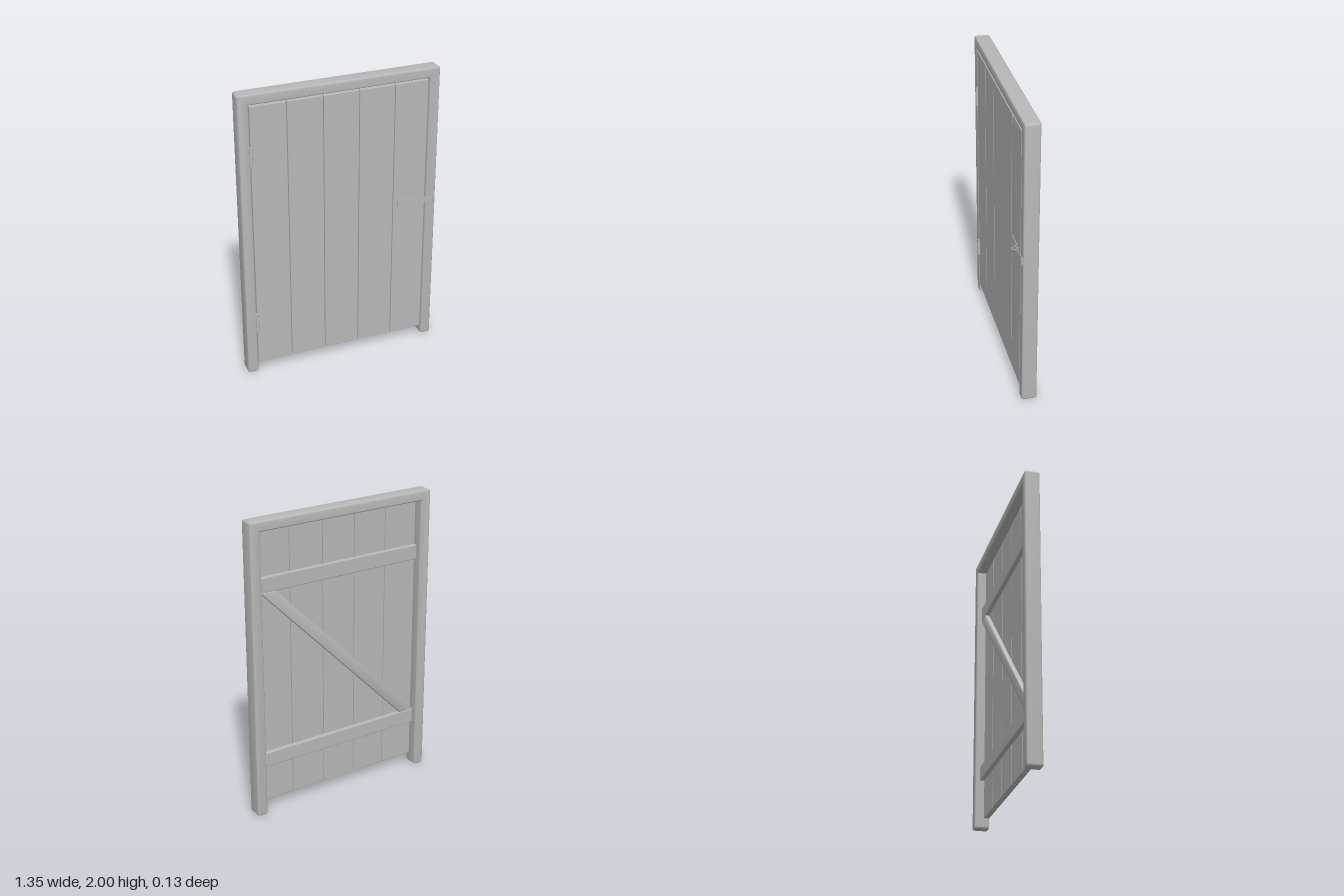
import * as THREE from 'three';
import { toCreasedNormals } from 'three/addons/utils/BufferGeometryUtils.js';
import { RoundedBoxGeometry } from 'three/addons/geometries/RoundedBoxGeometry.js';

const grey = new THREE.MeshStandardMaterial({ color: 0xb8b8b8 });
grey.name = 'plain grey';

function add(parent, name, geometry, x = 0, y = 0, z = 0) {
  const mesh = new THREE.Mesh(geometry, grey);
  mesh.name = name;
  mesh.position.set(x, y, z);
  parent.add(mesh);
  return mesh;
}

// Box given by its extents, with softened edges
function slab(parent, name, [x0, x1], [y0, y1], [z0, z1], bevel) {
  const geometry = new RoundedBoxGeometry(x1 - x0, y1 - y0, z1 - z0, 2, bevel);
  return add(parent, name, geometry, (x0 + x1) / 2, (y0 + y1) / 2, (z0 + z1) / 2);
}

// Closed outline extruded between z0 and z1, bevelled inside its own outline
function bevelled(shape, z0, z1, bevel) {
  const geometry = new THREE.ExtrudeGeometry(shape, {
    depth: z1 - z0 - 2 * bevel, bevelEnabled: true, bevelThickness: bevel,
    bevelSize: bevel, bevelOffset: -bevel, bevelSegments: 3, curveSegments: 4,
  });
  geometry.translate(0, 0, z0 + bevel);
  return toCreasedNormals(geometry, 0.6);
}

function createFrame() {
  const w = 0.675, i = 0.603, top = 2, head = 1.932, r = 0.016;
  const s = new THREE.Shape();
  s.moveTo(-w, r);
  s.quadraticCurveTo(-w, 0, -w + r, 0);
  s.lineTo(-i - r, 0);
  s.quadraticCurveTo(-i, 0, -i, r);
  s.lineTo(-i, head);
  s.lineTo(i, head);
  s.lineTo(i, r);
  s.quadraticCurveTo(i, 0, i + r, 0);
  s.lineTo(w - r, 0);
  s.quadraticCurveTo(w, 0, w, r);
  s.lineTo(w, top - r);
  s.quadraticCurveTo(w, top, w - r, top);
  s.lineTo(-w + r, top);
  s.quadraticCurveTo(-w, top, -w, top - r);
  s.closePath();
  return bevelled(s, -0.067, 0.033, 0.01);
}

function createLeaf() {
  const leaf = new THREE.Group();
  leaf.name = 'doorLeaf';
  // Upright boards
  const seams = [-0.602, -0.36, -0.119, 0.123, 0.367, 0.598];
  for (let k = 0; k < 5; k++) {
    slab(leaf, 'plank', [seams[k] + 0.002, seams[k + 1] - 0.002], [0.07, 1.923], [-0.007, 0.031], 0.004);
  }
  // Horizontal ledges on the back
  for (const y of [0.33, 1.53]) {
    slab(leaf, 'ledge', [-0.596, 0.594], [y, y + 0.1], [-0.037, -0.005], 0.006);
  }
  // Diagonal brace between the ledges
  const outline = new THREE.Shape([[-0.596, 0.43], [-0.488, 0.43], [0.594, 1.53], [0.486, 1.53]]
    .map(([x, y]) => new THREE.Vector2(x, y)));
  add(leaf, 'brace', bevelled(outline, -0.037, -0.005, 0.006));
  return leaf;
}

function createHinge(y) {
  const hinge = new THREE.Group();
  hinge.name = 'hinge';
  hinge.position.set(-0.6, y, 0.033);
  for (let k = -1; k <= 1; k++) {
    add(hinge, 'hingeKnuckle', new THREE.CylinderGeometry(0.011, 0.011, 0.041, 16), 0, k * 0.042, 0);
  }
  add(hinge, 'hingePin', new THREE.CylinderGeometry(0.007, 0.007, 0.132, 12));
  for (const side of [-1, 1]) {
    add(hinge, 'hingePlate', new THREE.BoxGeometry(0.012, 0.125, 0.004), side * 0.007, 0, -0.001);
  }
  return hinge;
}

function createLatch() {
  const latch = new THREE.Group();
  latch.name = 'latch';
  latch.position.y = 1.073;
  // Backing plate and sloping hasp strip
  add(latch, 'latchPlate', new THREE.BoxGeometry(0.145, 0.056, 0.004), 0.473, 0, 0.033);
  const strip = add(latch, 'haspStrip', new THREE.BoxGeometry(0.178, 0.034, 0.003), 0.568, 0, 0.038);
  strip.rotation.y = 0.035;
  // Raised guides around the slot
  for (const side of [-1, 1]) {
    add(latch, 'slotGuide', new THREE.BoxGeometry(0.055, 0.004, 0.004), 0.51, side * 0.011, 0.041);
  }
  // Ring staple passing through the slot
  const ring = add(latch, 'stapleRing', new THREE.TorusGeometry(0.0165, 0.0025, 8, 32), 0.507, 0, 0.048);
  ring.rotation.x = Math.PI / 2;
  // Keeper on the frame
  slab(latch, 'keeper', [0.653, 0.664], [-0.024, 0.024], [0.03, 0.043], 0.002);
  return latch;
}

export function createModel() {
  const model = new THREE.Group();
  model.name = 'plankDoor';
  add(model, 'doorFrame', createFrame());
  model.add(createLeaf(), createHinge(0.392), createHinge(1.59), createLatch());
  return model;
}
